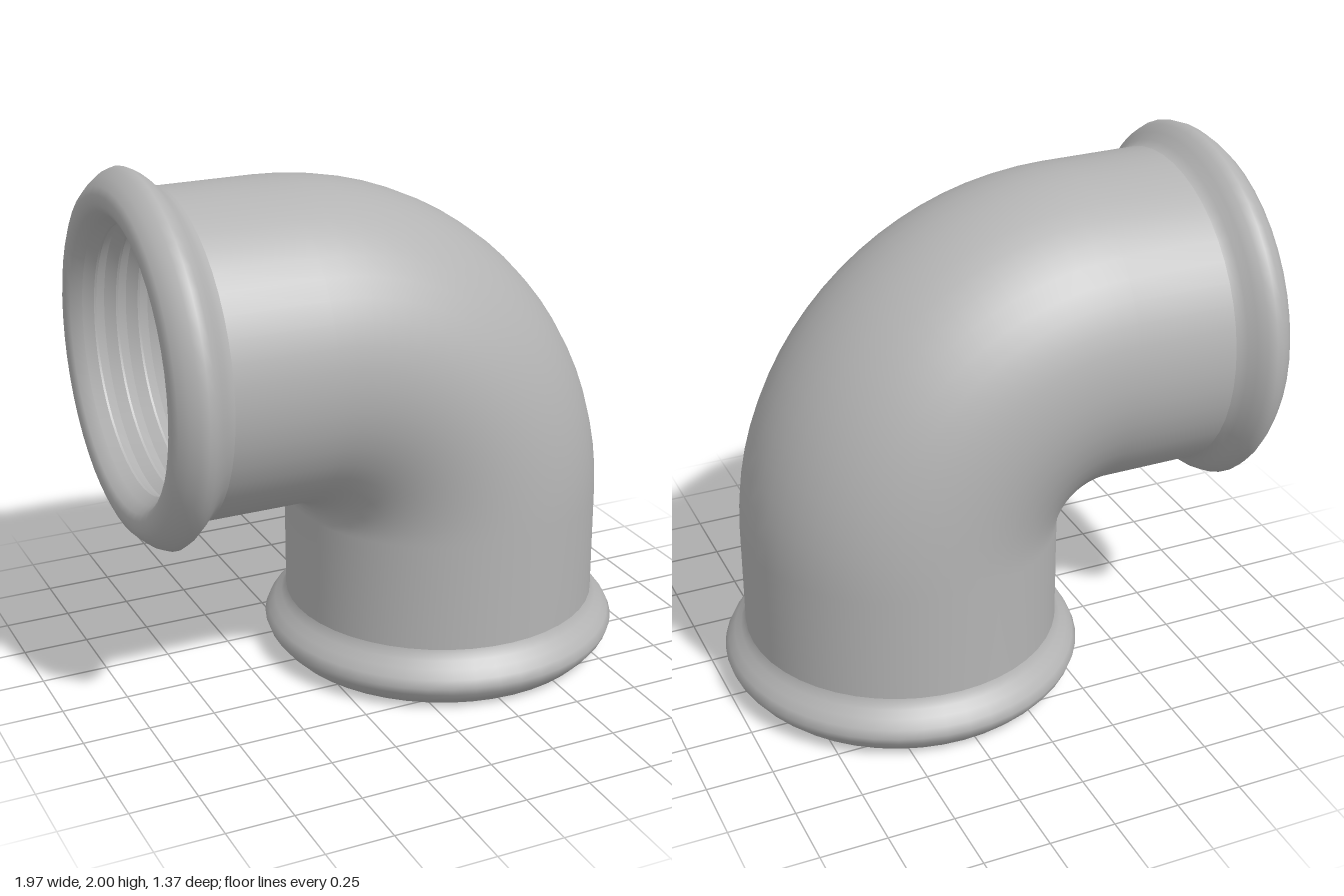
import * as THREE from 'three';
import { toCreasedNormals } from 'three/addons/utils/BufferGeometryUtils.js';

const SIDES = 48;
const BEND = { x: -0.39, y: 0.63, r: 0.69 };   // centre and radius of the elbow's axis
const ARC = BEND.r * Math.PI / 2;
const TAIL = 0.6;                               // straight length after the bend
const LENGTH = BEND.y + ARC + TAIL;

// Centre line point and outward direction at distance s from the lower end
function frame(s) {
  const a = Math.min(Math.max((s - BEND.y) / BEND.r, 0), Math.PI / 2);
  const out = [Math.cos(a), Math.sin(a)];
  const dy = Math.min(s - BEND.y, 0);
  const dx = Math.max(s - BEND.y - ARC, 0);
  return { x: BEND.x + BEND.r * out[0] - dx, y: BEND.y + BEND.r * out[1] + dy, out };
}

// Sweeps a profile of [distance, radius] points around the centre line
function sweep(name, profile, material, crease) {
  const pos = [], idx = [];
  for (const [s, r] of profile) {
    const f = frame(s);
    for (let j = 0; j < SIDES; j++) {
      const t = j / SIDES * Math.PI * 2, c = r * Math.cos(t);
      pos.push(f.x + c * f.out[0], f.y + c * f.out[1], r * Math.sin(t));
    }
  }
  for (let i = 0; i < profile.length - 1; i++) {
    for (let j = 0; j < SIDES; j++) {
      const a = i * SIDES + j, b = i * SIDES + (j + 1) % SIDES;
      idx.push(a, a + SIDES, b, b, a + SIDES, b + SIDES);
    }
  }
  const geo = new THREE.BufferGeometry();
  geo.setAttribute('position', new THREE.Float32BufferAttribute(pos, 3));
  geo.setIndex(idx);
  const mesh = new THREE.Mesh(toCreasedNormals(geo, crease), material);
  mesh.name = name;
  return mesh;
}

// Constant-radius stretch: straight ends plus evenly spaced stations in the bend
function tube(from, to, r) {
  const profile = [[from, r]];
  for (let i = 0; i <= 20; i++) profile.push([BEND.y + ARC * i / 20, r]);
  profile.push([to, r]);
  return profile;
}

export function createModel() {
  const group = new THREE.Group();
  group.name = 'pipeElbow';
  const metal = new THREE.MeshStandardMaterial({ color: 0xb4b4b4 });
  metal.name = 'grey metal';

  // Outer wall and inner passage
  const boreStart = 0.58, boreRadius = 0.5;
  group.add(sweep('outerBody', tube(0.22, LENGTH - 0.22, 0.6), metal, 0.7));
  group.add(sweep('innerBore',
    tube(boreStart, LENGTH - boreStart, boreRadius).reverse(), metal, 0.7));

  // Rounded bead with its flat end face, from the mouth to the wall
  const rim = [
    [0.05, 0.51], [0.012, 0.535], [0, 0.56], [0, 0.595], [0.012, 0.622], [0.04, 0.65],
    [0.07, 0.673], [0.1, 0.684], [0.13, 0.67], [0.16, 0.645], [0.185, 0.62],
    [0.205, 0.606], [0.22, 0.6],
  ];

  // Internal thread ridges, from the bore out to the mouth
  const thread = [[boreStart, boreRadius], [0.56, 0.51]];
  const pitch = 0.085;
  for (let i = 5; i >= 0; i--) {
    const s = 0.05 + i * pitch;
    thread.push([s + pitch * 0.55, 0.487], [s + pitch * 0.45, 0.487], [s, 0.51]);
  }

  // The same end treatment on both mouths
  const flip = (profile) => profile.map(([s, r]) => [LENGTH - s, r]).reverse();
  group.add(sweep('lowerRim', rim, metal, 0.8));
  group.add(sweep('sideRim', flip(rim), metal, 0.8));
  group.add(sweep('lowerThread', thread, metal, 0.25));
  group.add(sweep('sideThread', flip(thread), metal, 0.25));
  return group;
}
